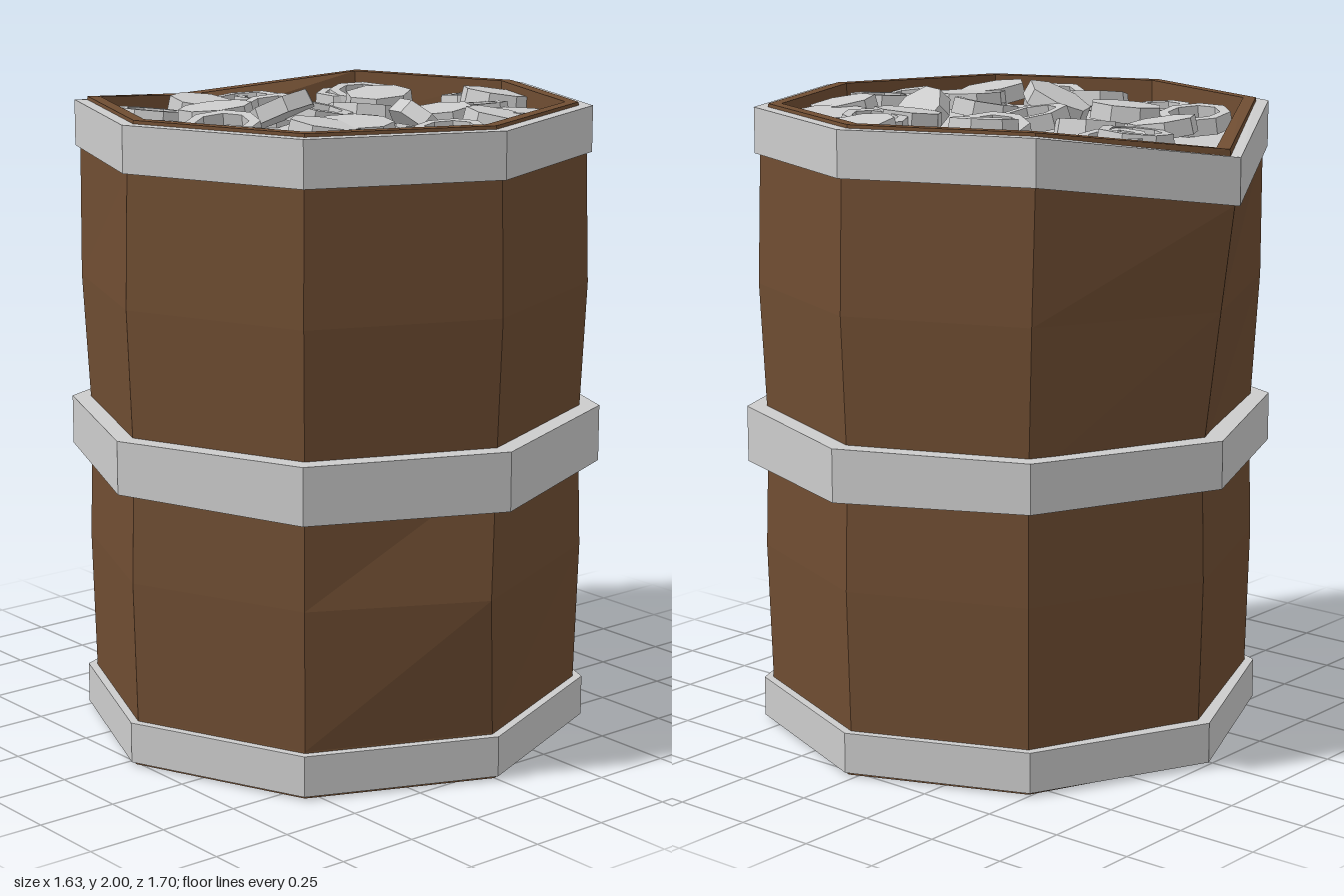
import * as THREE from 'three';

const wood = new THREE.MeshStandardMaterial({ color: 0x6f4d32, flatShading: true, side: THREE.DoubleSide });
const grey = new THREE.MeshStandardMaterial({ color: 0xcccccc, flatShading: true, side: THREE.DoubleSide });

// Crooked eight-sided outline, from the front round by +x
const outline = [[0, 0.8], [0.56, 0.57], [0.775, 0.03], [0.56, -0.49], [0.02, -0.72], [-0.55, -0.49], [-0.76, 0.03], [-0.54, 0.57]];
const N = outline.length, BACK = 4;

// One cross-section: scaled outline whose back corner leans out and sags, and which may slope with z
function ring(y, scale, lean = 0, sag = 0, slope = 0) {
  return outline.map(([x, z], i) => {
    const k = i === BACK ? 1 : Math.abs(i - BACK) === 1 ? 0.2 : 0;
    return [
      x * scale + (i === BACK ? lean * 0.25 : 0),
      y - (i === BACK ? sag : 0) - slope * z,
      z * scale - lean * k,
    ];
  });
}

// Joins successive cross-sections with flat quads, with optional end caps
function loft(name, material, rings, capStart = false, capEnd = false) {
  const idx = [];
  for (let r = 0; r < rings.length - 1; r++)
    for (let i = 0; i < N; i++) {
      const a = r * N + i, b = r * N + (i + 1) % N;
      idx.push(a, b, b + N, a, b + N, a + N);
    }
  const last = (rings.length - 1) * N;
  for (let i = 1; i < N - 1; i++) {
    if (capStart) idx.push(0, i + 1, i);
    if (capEnd) idx.push(last, last + i, last + i + 1);
  }
  const indexed = new THREE.BufferGeometry();
  indexed.setAttribute('position', new THREE.Float32BufferAttribute(rings.flat(2), 3));
  indexed.setIndex(idx);
  const geometry = indexed.toNonIndexed();
  geometry.computeVertexNormals();
  const mesh = new THREE.Mesh(geometry, material);
  mesh.name = name;
  return mesh;
}

// Hoop: outer wall with lips running in to the wood
function hoop(name, low, high, scale, depth, lean, sag = 0, slope = 0) {
  const inner = scale - depth;
  const start = ring(low, inner, lean, sag, slope);
  return loft(name, grey, [
    start, ring(low, scale, lean, sag, slope),
    ring(high, scale, lean, sag), ring(high, inner, lean, sag), start,
  ]);
}

// Coin: a thin prism, or a holed one
function coin(radius, holed, sides) {
  const h = 0.05;
  if (!holed) return new THREE.CylinderGeometry(radius * 0.96, radius, h, sides);
  const hole = radius * 0.67;
  const profile = [[hole, -h / 2], [radius, -h / 2], [radius * 0.95, h / 2], [hole, h / 2], [hole, -h / 2]];
  return new THREE.LatheGeometry(profile.map(([x, y]) => new THREE.Vector2(x, y)), sides);
}

// Coin centres as x, z
const solidCoins = [[-0.14, -0.43], [-0.27, -0.19], [0.3, -0.1], [0.59, 0.13], [-0.3, 0.37],
  [-0.18, 0.36], [0.24, 0.25], [0.4, 0.42], [0.26, 0.5]];
const holedCoins = [[-0.38, -0.37], [0.05, -0.47], [0.13, -0.45], [0.4, -0.37], [0.43, -0.33], [0, -0.26],
  [-0.5, -0.14], [0, -0.04], [0.2, -0.05], [0.62, 0], [-0.45, 0.08], [-0.43, 0.22], [-0.13, 0.2],
  [-0.13, 0.26], [0.4, 0.24], [-0.08, 0.57], [0, 0.57]];

// Small seeded generator, from -1 to 1
let seed = 7;
function jitter() {
  seed = (seed * 16807) % 2147483647;
  return seed / 1073741823.5 - 1;
}

export function createModel() {
  const model = new THREE.Group();
  model.name = 'barrelOfCoins';

  // Wooden body, over the rim and down the inner wall
  const belly = ring(0.57, 1);
  belly[0] = [-0.05, 0.57, 0.83];
  model.add(loft('woodenBody', wood, [
    ring(0, 1), ring(0.14, 0.985), belly, ring(0.95, 0.985), ring(1.4, 1.01, 0.05),
    ring(1.8, 0.995, 0.115, 0.08), ring(1.95, 0.96, 0.12, 0.07),
    ring(1.95, 0.91, 0.105, 0.07), ring(1.8, 0.91, 0.05),
  ], true));

  // Metal hoops
  model.add(hoop('bottomHoop', 0.01, 0.135, 1.02, 0.06, 0.02));
  model.add(hoop('middleHoop', 0.853, 1.015, 1.065, 0.1, 0.02, 0, 0.022));
  model.add(hoop('topHoop', 1.8, 1.94, 1.015, 0.055, 0.12, 0.08));

  // Level bed under the coins
  model.add(loft('coinBed', grey, [ring(1.82, 0.91, 0.05), ring(1.845, 0.91, 0.05)], false, true));

  // Loose coins and rings, the higher ones lying on those below
  const pile = new THREE.Group();
  pile.name = 'coinPile';
  function addCoin(x, y, z, holed, tiltX, tiltZ) {
    const sides = 7 + pile.children.length % 2;
    const mesh = new THREE.Mesh(coin(0.113 + 0.008 * jitter(), holed, sides), grey);
    mesh.name = holed ? 'holedCoin' : 'solidCoin';
    mesh.position.set(x, y, z);
    mesh.rotation.set(tiltX, 0, tiltZ);
    mesh.rotateY(3 * jitter());
    pile.add(mesh);
  }
  for (const [x, z] of solidCoins) addCoin(x, 1.905 + 0.015 * jitter(), z, false, 0.15 * jitter(), 0.15 * jitter());
  for (const [x, z] of holedCoins) addCoin(x, 1.885 + 0.02 * jitter(), z, true, 0.15 * jitter(), 0.2 * jitter());

  // Two coins standing up steeply in the pile
  addCoin(-0.17, 1.93, 0, false, -0.42, 0.15);
  addCoin(0.11, 1.89, 0.32, false, 0.2, -0.75);
  model.add(pile);
  return model;
}
